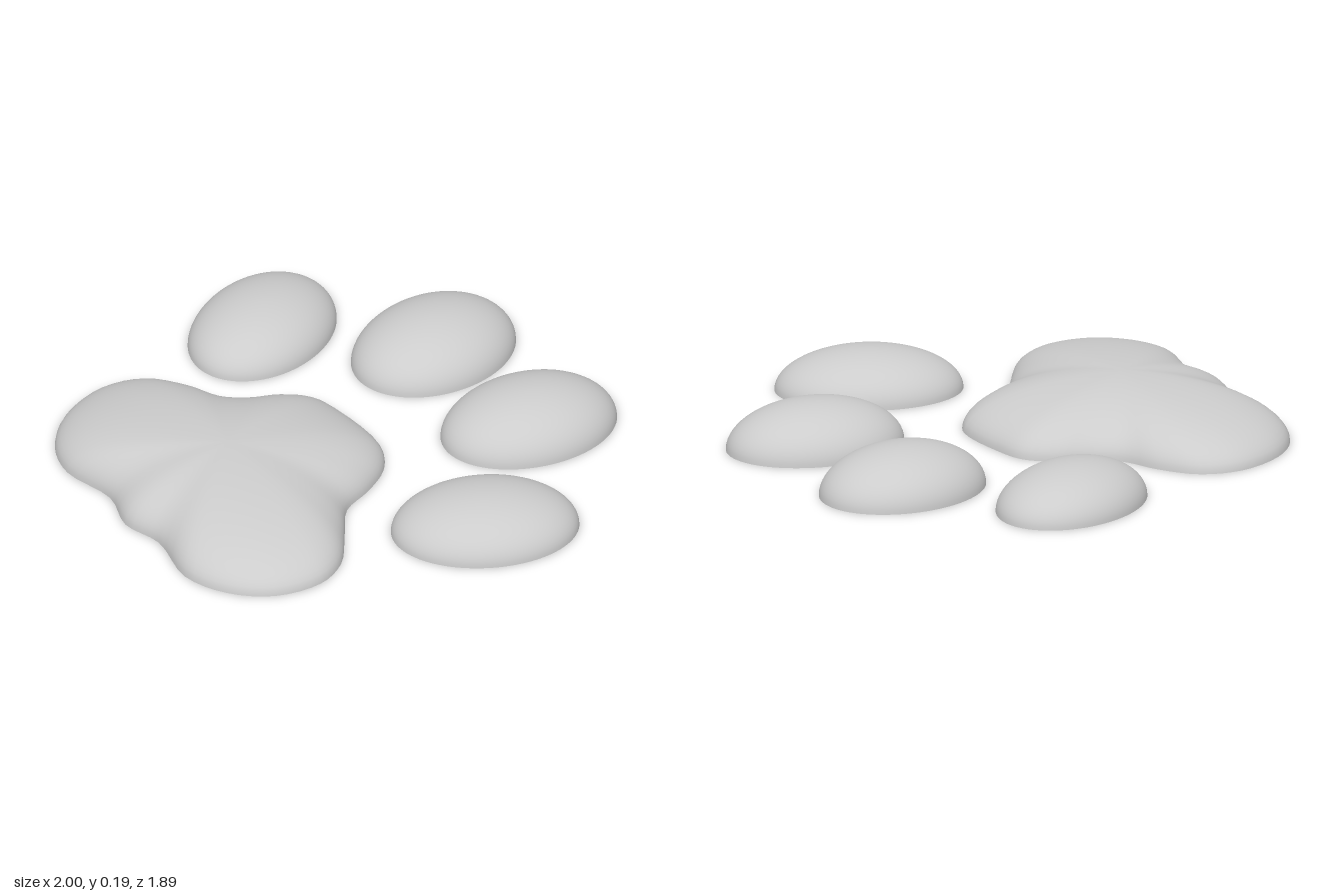
import * as THREE from 'three';

const SEGMENTS = 96, RINGS = 18;

// Skewed oval that fills a box of half width w and half length l
function ovalRim([cx, cz], w, l, skew) {
  return Array.from({ length: SEGMENTS }, (_, i) => {
    const t = (i / SEGMENTS) * Math.PI * 2;
    return new THREE.Vector2(cx + w * Math.cos(t), cz + l * Math.sin(t + skew));
  });
}

// Three-lobed outline, clockwise from above
function mainPadRim() {
  const points = [
    [-0.12, -0.105], [0.12, -0.098], [0.22, -0.03], [0.29, 0.09], [0.34, 0.22],
    [0.46, 0.32], [0.6, 0.44], [0.655, 0.57], [0.62, 0.75], [0.5, 0.88],
    [0.33, 0.94], [0.1, 0.89], [-0.06, 0.92], [-0.23, 0.865], [-0.45, 0.895],
    [-0.6, 0.84], [-0.72, 0.71], [-0.775, 0.52], [-0.73, 0.37], [-0.6, 0.27],
    [-0.46, 0.21], [-0.38, 0.12], [-0.32, 0], [-0.24, -0.08],
  ];
  const curve = new THREE.CatmullRomCurve3(
    points.map(([x, z]) => new THREE.Vector3(x, 0, z)), true);
  return curve.getPoints(SEGMENTS).slice(0, SEGMENTS)
    .map(p => new THREE.Vector2(p.x, p.z));
}

// Elliptical dome: the rim shrinks towards the centre while it rises
function domeGeometry(rim, [cx, cz], height) {
  const pos = [], idx = [];
  for (let r = 0; r < RINGS; r++) {
    const angle = (r / RINGS) * Math.PI / 2;
    const s = Math.cos(angle);
    for (const p of rim) {
      pos.push(cx + (p.x - cx) * s, height * Math.sin(angle), cz + (p.y - cz) * s);
    }
  }
  pos.push(cx, height, cz);
  const apex = RINGS * SEGMENTS;
  for (let r = 0; r < RINGS; r++) {
    for (let i = 0; i < SEGMENTS; i++) {
      const a = r * SEGMENTS + i;
      const b = r * SEGMENTS + (i + 1) % SEGMENTS;
      if (r === RINGS - 1) idx.push(a, apex, b);
      else idx.push(a, a + SEGMENTS, b, b, a + SEGMENTS, b + SEGMENTS);
    }
  }
  const geo = new THREE.BufferGeometry();
  geo.setAttribute('position', new THREE.Float32BufferAttribute(pos, 3));
  geo.setIndex(idx);
  geo.computeVertexNormals();
  return geo;
}

// Dome with a flat underside
function makePad(name, rim, centre, height, material) {
  const pad = new THREE.Group();
  pad.name = name;
  const dome = new THREE.Mesh(domeGeometry(rim, centre, height), material);
  dome.name = name + 'Dome';
  const base = new THREE.Mesh(
    new THREE.ShapeGeometry(new THREE.Shape(rim)).rotateX(Math.PI / 2), material);
  base.name = name + 'Base';
  pad.add(dome, base);
  return pad;
}

export function createModel() {
  const group = new THREE.Group();
  group.name = 'pawPrint';
  const grey = new THREE.MeshStandardMaterial({ color: 0xcccccc });
  grey.name = 'lightGrey';

  group.add(makePad('mainPad', mainPadRim(), [-0.05, 0.47], 0.185, grey));

  // Toes: name, centre, half width, half length, skew, height
  const toes = [
    ['outerRightToe', [-0.742, -0.195], 0.258, 0.32, 0.22, 0.155],
    ['innerRightToe', [-0.278, -0.622], 0.258, 0.328, 0.05, 0.17],
    ['innerLeftToe', [0.308, -0.618], 0.253, 0.332, -0.1, 0.17],
    ['outerLeftToe', [0.725, -0.115], 0.275, 0.325, -0.25, 0.155],
  ];
  for (const [name, centre, w, l, skew, height] of toes) {
    group.add(makePad(name, ovalRim(centre, w, l, skew), centre, height, grey));
  }
  return group;
}
